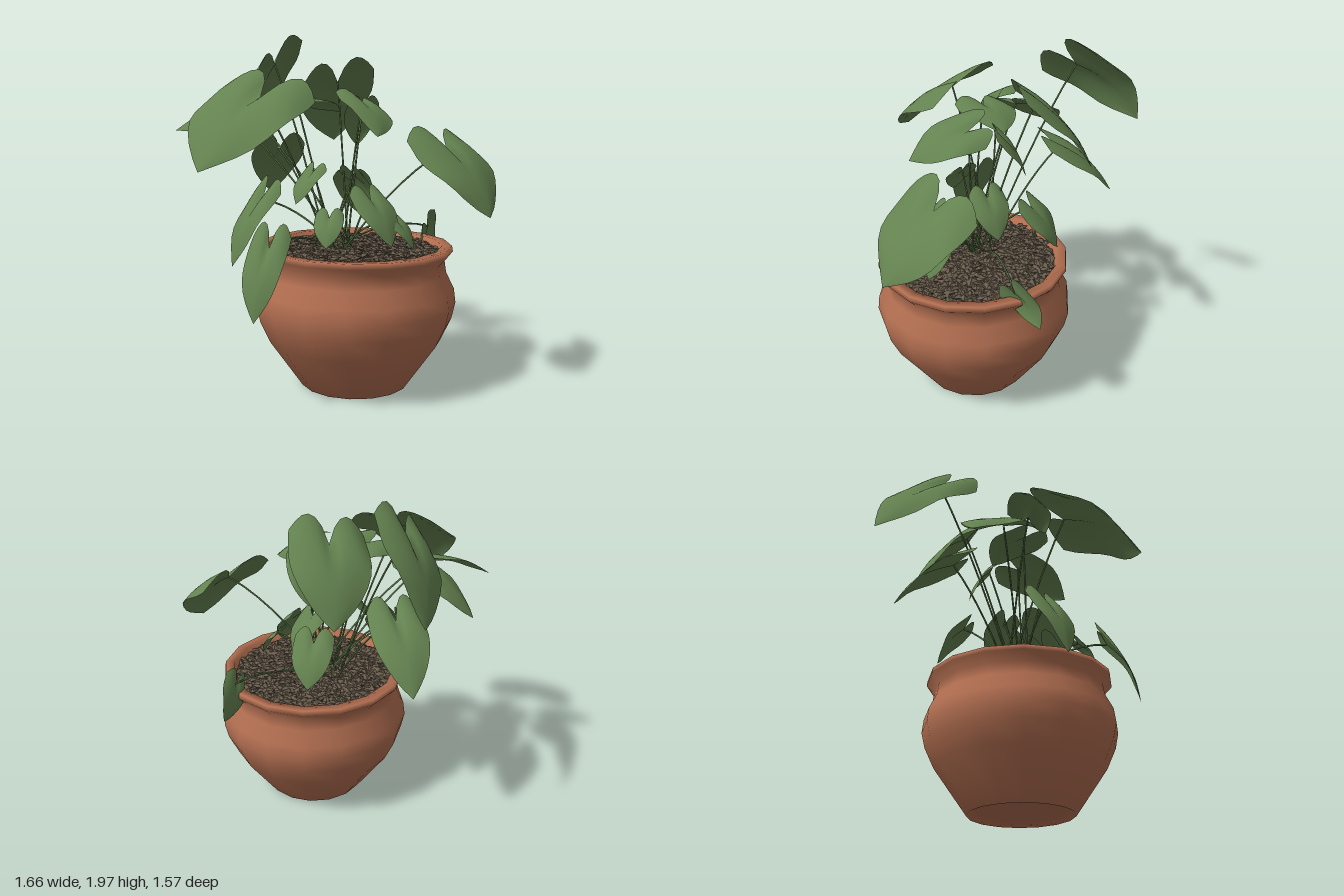
import * as THREE from 'three';
import { mergeGeometries } from 'three/addons/utils/BufferGeometryUtils.js';

const UP = new THREE.Vector3(0, 1, 0);
const mat = (name, color, extra = {}) =>
  Object.assign(new THREE.MeshStandardMaterial({ color, ...extra }), { name });

// Small seeded random generator
function seeded(s) {
  return () => {
    s = (s * 1664525 + 1013904223) >>> 0;
    return s / 4294967296;
  };
}

const POT = new THREE.Vector3(0.11, 0, 0.225); // pot axis
const CROWN = new THREE.Vector3(0.04, 0.76, 0.17); // where the stems leave the soil

// Large leaves: notch x y z, tip x y z, half width, roll about the midrib
const LARGE = [
  [-0.2, 1.8, -0.41, -0.17, 1.46, -0.78, 0.236, 0.74],
  [0.11, 1.7, -0.12, 0.18, 1.34, -0.43, 0.23, 0.24],
  [-0.4, 1.5, -0.1, -0.63, 1.28, -0.38, 0.2, 0.22],
  [-0.2, 1.3, -0.32, -0.18, 1, -0.65, 0.16, 0],
  [-0.53, 1.5, -0.01, -0.83, 1.43, -0.15, 0.13, 0.44],
  [-0.43, 1.62, 0.27, -0.8, 1.26, 0.53, 0.3, 0.2],
  [0.55, 1.34, 0.46, 0.68, 1, 0.74, 0.28, 0.09],
  [-0.2, 1.59, 0.12, 0.08, 1.53, 0.04, 0.165, 0.11],
  [0.14, 1.58, 0.24, 0.12, 1.42, 0.56, 0.16, 0.4],
  [0.2, 1.55, 0.07, 0.21, 1.33, -0.06, 0.1, 0],
  [-0.44, 0.86, 0.5, -0.55, 0.5, 0.62, 0.115, 0.07],
  [-0.4, 1.06, 0.15, -0.58, 0.7, 0.18, 0.13, 0.13],
  [0.62, 0.85, 0.06, 0.72, 0.68, -0.06, 0.11, 1.4],
];

// Low leaves hanging outward around the crown: angle, distance, height, half width
const LOW = [
  [1.16, 0.25, 1.07, 0.13],
  [2.02, 0.37, 1, 0.08],
  [2.72, 0.2, 1.21, 0.09],
  [0.81, 0.35, 0.95, 0.08],
  [-1.04, 0.31, 1.12, 0.12],
  [-0.3, 0.1, 1.17, 0.11],
];

// Heart-shaped blade: a grid swept from the lobes to the tip
function leafGeometry(notch, tip, half, roll) {
  const D = tip.clone().sub(notch);
  const length = D.length();
  const side = new THREE.Vector3().crossVectors(D, UP).normalize();
  const W = side.applyAxisAngle(D.clone().normalize(), -roll).multiplyScalar(half);
  const n = new THREE.Vector3().crossVectors(W, D).normalize();
  const rows = 9, cols = 12, pos = [], idx = [];
  for (let i = 0; i <= rows; i++) {
    const s = i / rows;
    const width = Math.cos((Math.PI / 2) * s ** 1.3) * (0.92 + 0.35 * s);
    for (let j = 0; j <= cols; j++) {
      const v = (j / cols) * 2 - 1, a = Math.abs(v);
      const back = 0.34 * Math.sin(Math.PI * 0.85 * a ** 0.8) * (1 - s) ** 1.4;
      const lift = 0.11 * length * Math.sin(Math.PI * s)
        + half * width * (0.12 * a - 0.26 * a * a + 0.05 * a * Math.sin(9 * s + 2 * v));
      const p = notch.clone().addScaledVector(D, s - back)
        .addScaledVector(W, v * width).addScaledVector(n, lift);
      pos.push(p.x, p.y, p.z);
      if (i < rows && j < cols) {
        const k = i * (cols + 1) + j, m = k + cols + 1;
        idx.push(k, k + 1, m, k + 1, m + 1, m);
      }
    }
  }
  const g = new THREE.BufferGeometry();
  g.setAttribute('position', new THREE.Float32BufferAttribute(pos, 3));
  g.setIndex(idx);
  g.computeVertexNormals();
  return g;
}

// Thin arching stem from the soil to a leaf notch
function stemGeometry(end, rand) {
  const base = CROWN.clone();
  base.x += (rand() - 0.5) * 0.14;
  base.z += (rand() - 0.5) * 0.14;
  const mid = base.clone().lerp(end, 0.55);
  mid.y += 0.05 + 0.12 * Math.hypot(end.x - base.x, end.z - base.z);
  const curve = new THREE.QuadraticBezierCurve3(base, mid, end);
  return new THREE.TubeGeometry(curve, 8, 0.0055, 5);
}

export function createModel() {
  const model = new THREE.Group();
  model.name = 'pottedPlant';
  const terracotta = mat('terracotta', 0xb36f51, { side: THREE.DoubleSide });
  const leafGreen = mat('leafGreen', 0x648250, { side: THREE.DoubleSide });
  const stemGreen = mat('stemGreen', 0x5c7648);
  const soilDark = mat('soilDark', 0x4a4136);
  const pebbleBrown = mat('pebbleBrown', 0x685c4c, { flatShading: true });
  const rand = seeded(7);
  const add = (name, geo, material, parent = model) => {
    const m = new THREE.Mesh(geo, material);
    m.name = name;
    parent.add(m);
    return m;
  };

  // Pot with a flared rim, a short inner wall and a recessed base
  const profile = [
    [0, 0.03], [0.25, 0.03], [0.305, 0.005], [0.49, 0.27], [0.545, 0.39], [0.565, 0.48],
    [0.555, 0.56], [0.51, 0.65], [0.5, 0.72], [0.545, 0.77], [0.54, 0.8],
    [0.485, 0.8], [0.46, 0.7],
  ].map(([x, y]) => new THREE.Vector2(x, y));
  add('pot', new THREE.LatheGeometry(profile, 16), terracotta).position.copy(POT);

  // Soil bed
  const bed = new THREE.CircleGeometry(0.475, 24).rotateX(-Math.PI / 2);
  add('soil', bed, soilDark).position.set(POT.x, 0.755, POT.z);

  // Loose pebbles scattered over the soil
  const pebbles = [];
  for (let i = 0; i < 900; i++) {
    const r = 0.455 * Math.sqrt((i + rand()) / 900), a = i * 2.39996;
    const g = new THREE.OctahedronGeometry(1);
    g.scale(0.032 + rand() * 0.014, 0.015, 0.019 + rand() * 0.008);
    g.rotateX((rand() - 0.5) * 0.9).rotateZ((rand() - 0.5) * 0.7).rotateY(rand() * Math.PI * 2);
    g.translate(POT.x + r * Math.cos(a), 0.76 + rand() * 0.02, POT.z + r * Math.sin(a));
    pebbles.push(g);
  }
  add('pebbles', mergeGeometries(pebbles), pebbleBrown);

  // Leaves and their stems
  const foliage = new THREE.Group();
  foliage.name = 'foliage';
  model.add(foliage);
  const addLeaf = (notch, tip, half, roll) => {
    add('leaf', leafGeometry(notch, tip, half, roll), leafGreen, foliage);
    add('stem', stemGeometry(notch, rand), stemGreen, foliage);
  };
  for (const leaf of LARGE) {
    const notch = new THREE.Vector3().fromArray(leaf);
    const tip = new THREE.Vector3().fromArray(leaf, 3);
    addLeaf(notch, tip, leaf[6], leaf[7]);
  }
  for (const [angle, distance, height, half] of LOW) {
    const out = new THREE.Vector3(Math.cos(angle), 0, Math.sin(angle));
    const notch = CROWN.clone().addScaledVector(out, distance).setY(height);
    const tip = notch.clone().addScaledVector(out, half * 1.3).addScaledVector(UP, -half * 1.8);
    addLeaf(notch, tip, half, 0);
  }
  return model;
}
